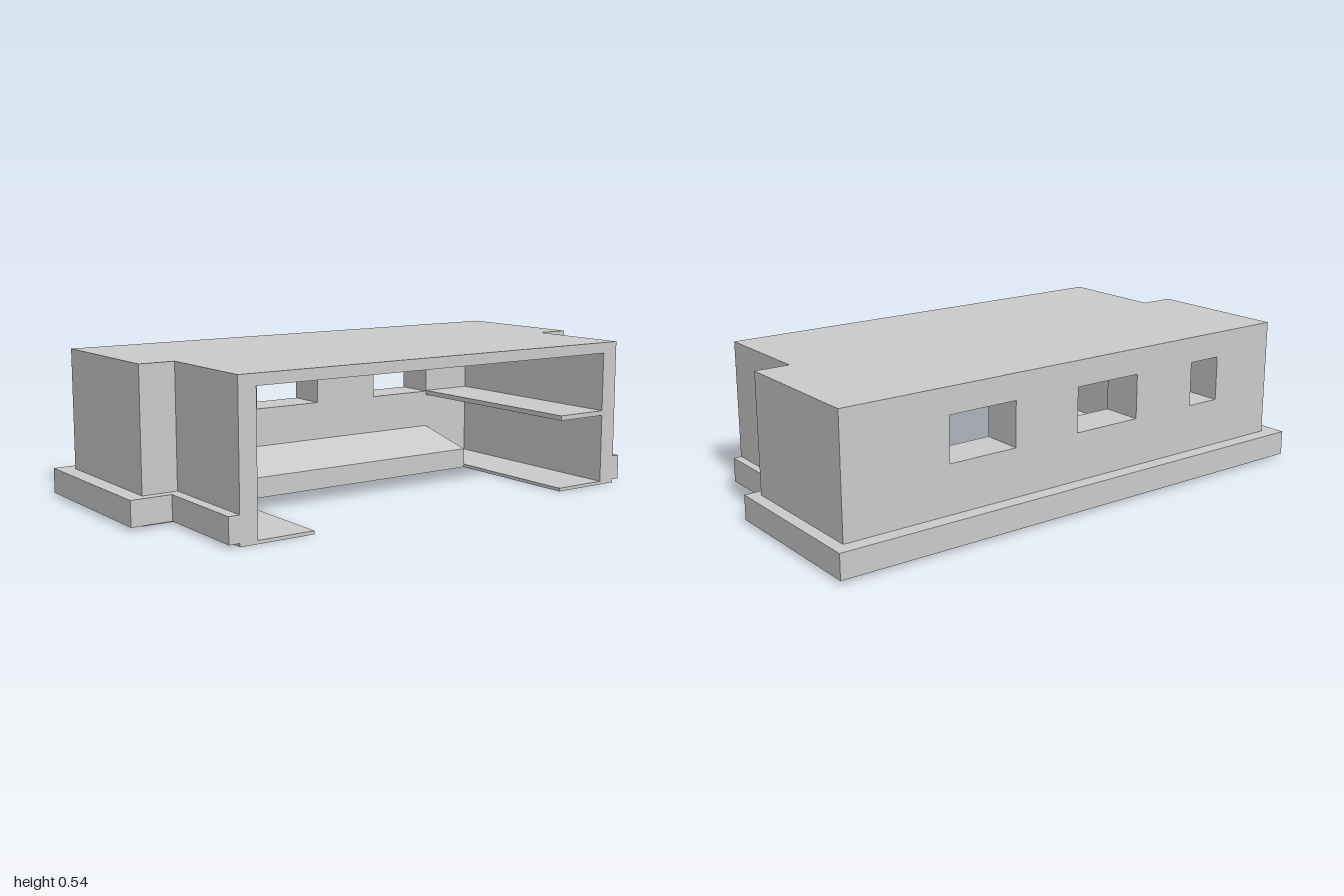
import * as THREE from 'three';

const material = new THREE.MeshStandardMaterial({ color: 0xcccccc, side: THREE.DoubleSide });

const WALL_TOP = 0.5, ROOF_TOP = 0.54;
const BACK = -0.45, INNER_BACK = -0.295, STEP = 0.093, FRONT = 0.505;

function addMesh(parent, name, geometry) {
  const mesh = new THREE.Mesh(geometry, material);
  mesh.name = name;
  parent.add(mesh);
  return mesh;
}

// Prism standing on a floor plan given as [x, z] points
function planPrism(points, y0, y1) {
  const shape = new THREE.Shape(points.map(([x, z]) => new THREE.Vector2(x, -z)));
  return new THREE.ExtrudeGeometry(shape, { depth: y1 - y0, bevelEnabled: false })
    .rotateX(-Math.PI / 2)
    .translate(0, y0, 0);
}

// Box given by its lower and upper limits on each axis
function boxBetween(x0, x1, y0, y1, z0, z1) {
  return new THREE.BoxGeometry(x1 - x0, y1 - y0, z1 - z0)
    .translate((x0 + x1) / 2, (y0 + y1) / 2, (z0 + z1) / 2);
}

function rectangle(target, x0, x1, y0, y1) {
  target.moveTo(x0, y0).lineTo(x1, y0).lineTo(x1, y1).lineTo(x0, y1).closePath();
  return target;
}

export function createModel() {
  const model = new THREE.Group();
  model.name = 'building';

  // Flat T-shaped roof
  addMesh(model, 'roof', planPrism([
    [-0.94, BACK], [0.955, BACK], [0.955, STEP], [0.825, STEP],
    [0.825, FRONT], [-0.81, FRONT], [-0.81, STEP], [-0.94, STEP],
  ], WALL_TOP, ROOF_TOP));

  // Thick back wall with three windows
  const wall = rectangle(new THREE.Shape(), -0.94, 0.955, 0, WALL_TOP);
  for (const [x0, x1] of [[-0.67, -0.535], [-0.265, 0.01], [0.28, 0.55]]) {
    wall.holes.push(rectangle(new THREE.Path(), x0, x1, 0.28, 0.445));
  }
  addMesh(model, 'backWall', new THREE.ExtrudeGeometry(wall, {
    depth: INNER_BACK - BACK, bevelEnabled: false,
  }).translate(0, 0, BACK));

  // Stepped side walls, thinner towards the open front
  const sides = [
    { name: 'right', outer: -0.94, wing: -0.81, inner: -0.745, floor: -0.535, trim: -1, trimWing: -0.85 },
    { name: 'left', outer: 0.955, wing: 0.825, inner: 0.76, floor: 0.55, trim: 1, trimWing: 0.855 },
  ];
  for (const s of sides) {
    addMesh(model, s.name + 'Wall', planPrism([
      [s.outer, INNER_BACK], [s.outer, STEP], [s.wing, STEP],
      [s.wing, FRONT], [s.inner, FRONT], [s.inner, INNER_BACK],
    ], 0, WALL_TOP));

    // Thin floor strip inside each wing
    addMesh(model, s.name + 'Floor', boxBetween(
      Math.min(s.inner, s.floor), Math.max(s.inner, s.floor), 0, 0.012, INNER_BACK, FRONT));
  }

  // Base trim following the back and both stepped sides
  const [r, l] = sides;
  addMesh(model, 'baseTrim', planPrism([
    [r.trim, -0.505], [l.trim, -0.505], [l.trim, 0.13], [l.trimWing, 0.13],
    [l.trimWing, FRONT], [l.wing, FRONT], [l.wing, STEP], [l.outer, STEP], [l.outer, BACK],
    [r.outer, BACK], [r.outer, STEP], [r.wing, STEP], [r.wing, FRONT],
    [r.trimWing, FRONT], [r.trimWing, 0.13], [r.trim, 0.13],
  ], 0.012, 0.103));

  // Bench with a sloping top along the back wall, profile drawn in z and y
  const profile = new THREE.Shape([
    [INNER_BACK, 0], [-0.045, 0], [-0.045, 0.075], [INNER_BACK, 0.135],
  ].map(([z, y]) => new THREE.Vector2(-z, y)));
  addMesh(model, 'slopingBench', new THREE.ExtrudeGeometry(profile, {
    depth: l.floor - r.floor, bevelEnabled: false,
  }).rotateY(Math.PI / 2).translate(r.floor, 0, 0));

  // Shelf on the inside of the left wall
  addMesh(model, 'shelf', boxBetween(l.floor, l.inner, 0.265, 0.283, INNER_BACK, FRONT));

  return model;
}
